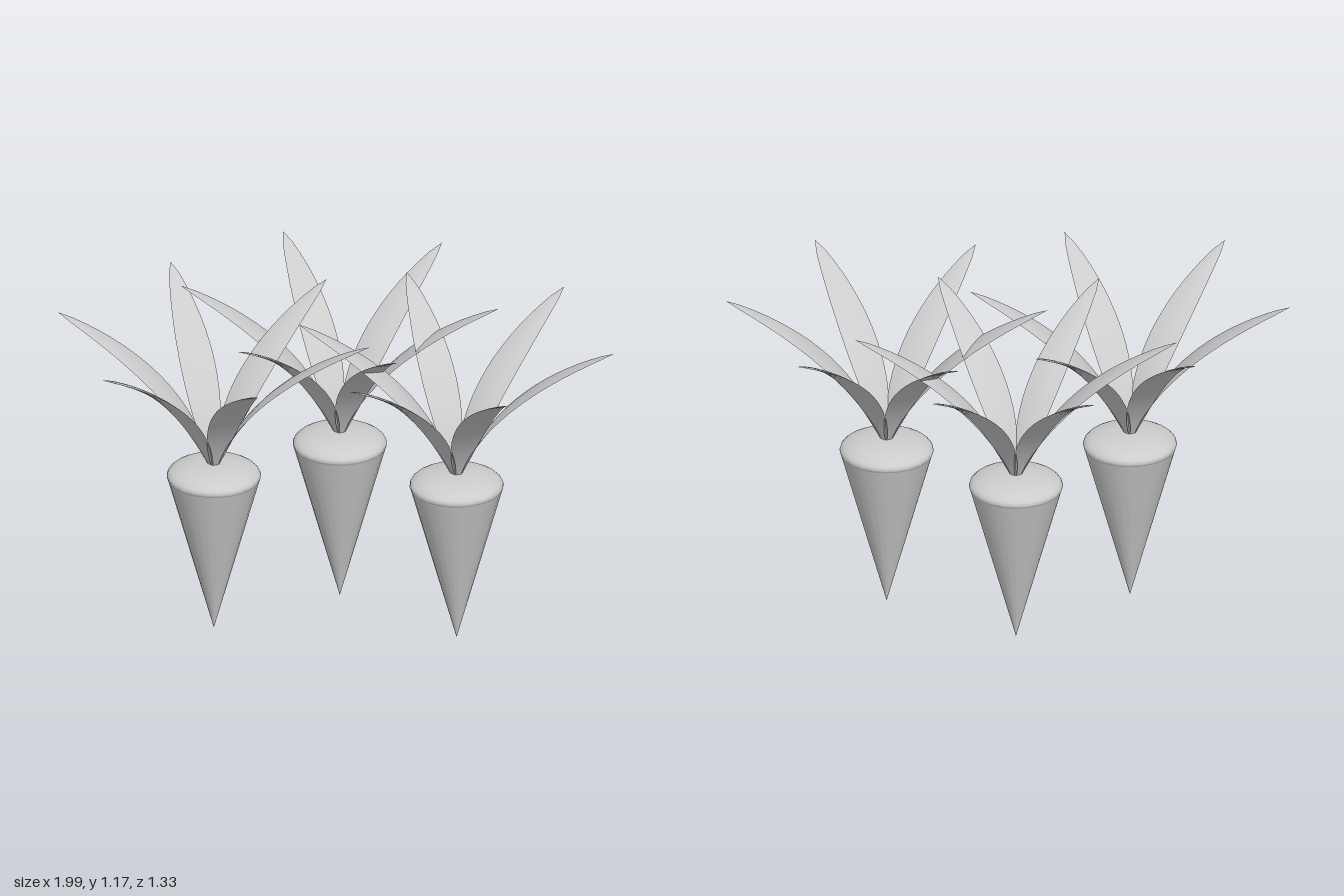
import * as THREE from 'three';
import { mergeGeometries } from 'three/addons/utils/BufferGeometryUtils.js';

// Arc of a leaf: x is the distance from the stalk, y the height
const leafArc = new THREE.QuadraticBezierCurve(
  new THREE.Vector2(0.01, 0.62),
  new THREE.Vector2(0.12, 0.96),
  new THREE.Vector2(0.567, 1.166)
);

// One face of a leaf: a plane bent along the arc; side is 1 for the upper face, -1 for the lower
function leafFace(side) {
  const geometry = new THREE.PlaneGeometry(1, 1, 4, 18);
  const pos = geometry.attributes.position;
  for (let i = 0; i < pos.count; i++) {
    const u = pos.getX(i) * 2;
    const t = THREE.MathUtils.clamp(pos.getY(i) + 0.5, 0, 1);
    const taper = Math.pow(Math.max(0, Math.sin(Math.PI * t)), 0.7);
    const p = leafArc.getPoint(t);
    const d = leafArc.getTangent(t);
    const bulge = side * 0.006 * taper * (1 - u * u);
    pos.setXYZ(i, p.x - d.y * bulge, p.y + d.x * bulge, side * u * 0.063 * taper);
  }
  geometry.computeVertexNormals();
  return geometry;
}

export function createModel() {
  const model = new THREE.Group();
  model.name = 'carrots';
  const grey = new THREE.MeshStandardMaterial({ color: 0xcccccc });
  grey.name = 'light grey';

  // Shared shapes: tapering root, flattened crown, thin leaf
  const rootShape = new THREE.ConeGeometry(0.165, 0.595, 24, 1, true);
  rootShape.rotateX(Math.PI).translate(0, 0.2975, 0);
  const crownShape = new THREE.SphereGeometry(0.166, 24, 16);
  crownShape.scale(1, 0.3, 1).translate(0, 0.596, 0);
  const leafShape = mergeGeometries([leafFace(1), leafFace(-1)]);

  const add = (parent, name, geometry) => {
    const mesh = new THREE.Mesh(geometry, grey);
    mesh.name = name;
    parent.add(mesh);
    return mesh;
  };

  // x, z and turn in degrees of each carrot
  const places = [[-0.431, 0.15, 5], [-0.036, -0.178, 0], [0.424, 0.087, 2.5]];
  for (const [x, z, turn] of places) {
    const carrot = new THREE.Group();
    carrot.name = 'carrot';
    carrot.position.set(x, 0, z);
    add(carrot, 'root', rootShape);
    add(carrot, 'crown', crownShape);
    for (let i = 0; i < 6; i++) {
      add(carrot, 'leaf', leafShape).rotation.y = -THREE.MathUtils.degToRad(turn + i * 60);
    }
    model.add(carrot);
  }
  return model;
}
